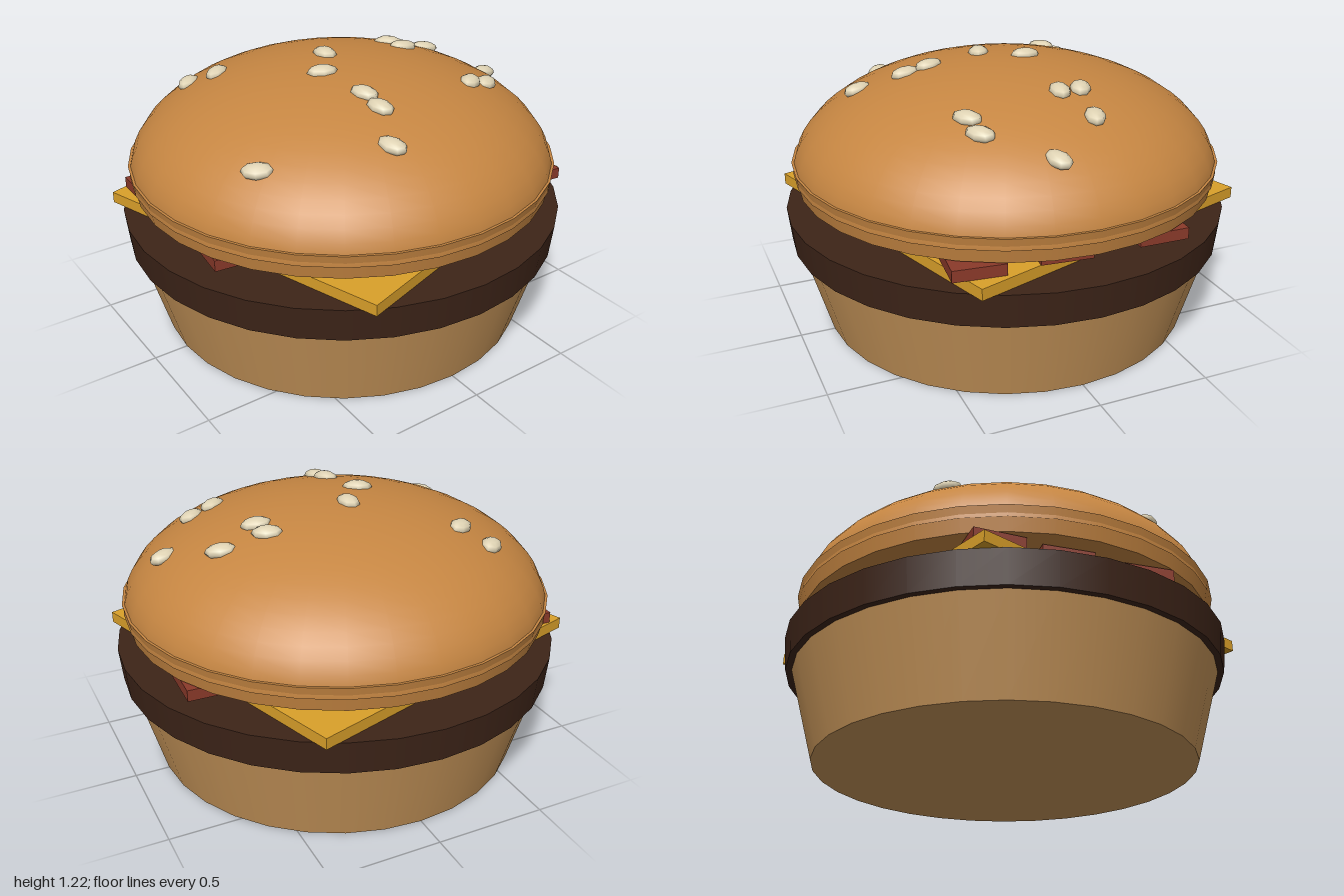
import * as THREE from 'three';

const SIDES = 32;

export function createModel() {
  const group = new THREE.Group();

  const add = (name, geometry, color, y = 0) => {
    const mesh = new THREE.Mesh(geometry, new THREE.MeshStandardMaterial({ color }));
    mesh.name = name;
    mesh.position.y = y;
    group.add(mesh);
    return mesh;
  };
  // Tapered disc standing between two heights
  const disc = (name, rTop, rBottom, y0, y1, color) =>
    add(name, new THREE.CylinderGeometry(rTop, rBottom, y1 - y0, SIDES), color, (y0 + y1) / 2);

  // Bottom bun and patty
  disc('bottomBun', 0.957, 0.845, 0, 0.4, 0xc8965a);
  disc('patty', 1, 0.985, 0.4, 0.55, 0x3d2418);

  // Square cheese slice, turned so its corners poke out
  add('cheese', new THREE.BoxGeometry(1.48, 0.05, 1.48), 0xdaa02a, 0.575).rotation.y = 0.308;

  // Three bacon strips at slightly different angles
  [[0.365, -0.11], [0, -0.106], [-0.365, -0.025]].forEach(([z, turn], i) => {
    const strip = add('baconStrip' + (i + 1), new THREE.BoxGeometry(1.72, 0.05, 0.22), 0x8b3a2a, 0.625);
    strip.position.z = z;
    strip.rotation.y = turn;
  });

  // Top bun: lip and flattened dome
  const domeY = 0.713, domeR = 0.957, domeH = 0.48, bunColor = 0xc68642;
  disc('topBunLip', 0.962, 0.94, 0.655, 0.765, bunColor);
  const dome = new THREE.SphereGeometry(1, SIDES, 16, 0, Math.PI * 2, 0, Math.PI / 2);
  dome.scale(domeR, domeH, domeR);
  add('topBunDome', dome, bunColor, domeY);

  // Sesame seeds: x, z, turn about the vertical
  const seedGeometry = new THREE.SphereGeometry(1, 8, 6);
  seedGeometry.scale(0.068, 0.03, 0.046);
  const up = new THREE.Vector3(0, 1, 0);
  [
    [-0.51, -0.485, 0.75], [-0.42, -0.375, 0.65], [-0.015, -0.105, 1.57], [-0.145, 0.068, -0.35],
    [-0.105, 0.32, -1.3], [-0.105, 0.43, -1.4], [-0.19, 0.625, -1.25], [-0.667, 0.395, -0.7],
    [0.395, -0.178, -0.5], [0.405, -0.078, -0.2], [0.59, -0.147, -0.35], [0.765, 0.097, 0.3],
    [0.45, 0.35, 0.6], [0.557, 0.337, 0.6],
  ].forEach(([x, z, turn], i) => {
    const height = domeH * Math.sqrt(1 - (x * x + z * z) / domeR ** 2);
    const seed = add('sesameSeed' + (i + 1), seedGeometry, 0xdfd3b4);
    seed.position.set(x, domeY + height, z);
    // Lean slightly with the slope of the dome
    const lean = new THREE.Vector3(x * 0.25, 1, z * 0.25).normalize();
    seed.quaternion.setFromUnitVectors(up, lean)
      .multiply(new THREE.Quaternion().setFromAxisAngle(up, turn));
  });

  return group;
}
